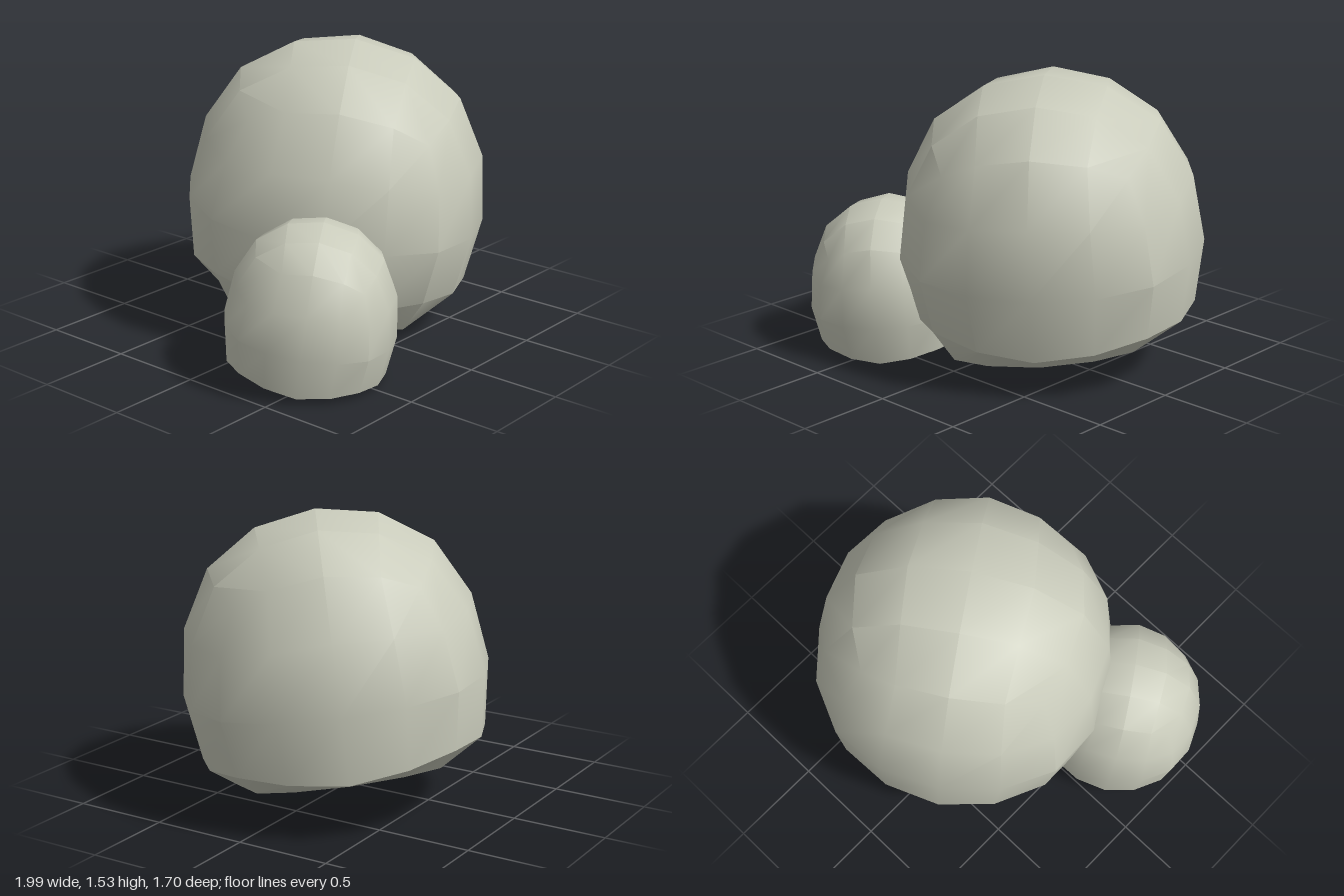
import * as THREE from 'three';
import { toCreasedNormals } from 'three/addons/utils/BufferGeometryUtils.js';

const material = new THREE.MeshStandardMaterial({ color: 0xc9cbbb });

// Rounded-cube rule: new size of grid coordinates 0, 1, 2, by squared distance of the grid point
const ROUNDED = {
  4: [0, 0, 0.878],
  5: [0, 0.35, 0.82],
  6: [0, 0.326, 0.764],
  8: [0, 0, 0.643],
  9: [0, 0.302, 0.599],
  12: [0, 0, 0.509],
};

// Boulder: a subdivided cube rounded into a ball, turned, and flattened underneath
function boulder(name, { width, height, floor, slopeX, slopeZ, position, tiltX, tiltZ }) {
  const geometry = new THREE.BoxGeometry(4, 4, 4, 4, 4, 4);
  const p = geometry.attributes.position;
  const v = new THREE.Vector3();

  // Round the cube
  for (let i = 0; i < p.count; i++) {
    v.fromBufferAttribute(p, i);
    const sizes = ROUNDED[Math.round(v.lengthSq())];
    const [x, y, z] = v.toArray().map((c) => Math.sign(c) * sizes[Math.round(Math.abs(c))]);
    p.setXYZ(i, x * width, y * height, z * width);
  }
  geometry.rotateY(0.593);

  // Flatten the underside onto a sloping floor
  for (let i = 0; i < p.count; i++) {
    const ground = floor + p.getX(i) * slopeX + p.getZ(i) * slopeZ;
    p.setY(i, Math.max(p.getY(i), ground));
  }

  const mesh = new THREE.Mesh(toCreasedNormals(geometry, Math.PI / 6), material);
  mesh.name = name;
  mesh.position.set(...position);
  mesh.rotation.set(tiltX, 0, tiltZ);
  return mesh;
}

export function createModel() {
  const model = new THREE.Group();
  model.name = 'boulderPair';

  model.add(
    // Large boulder, leaning slightly forward
    boulder('largeBoulder', {
      width: 0.907, height: 1.01, floor: -0.457, slopeX: 0.06, slopeZ: -0.058,
      position: [0.186, 0.648, -0.046], tiltX: 0.115, tiltZ: -0.04,
    }),
    // Small boulder at the front right
    boulder('smallBoulder', {
      width: 0.495, height: 0.62, floor: -0.225, slopeX: 0, slopeZ: -0.02,
      position: [-0.557, 0.275, 0.41], tiltX: 0.14, tiltZ: -0.02,
    })
  );

  return model;
}
